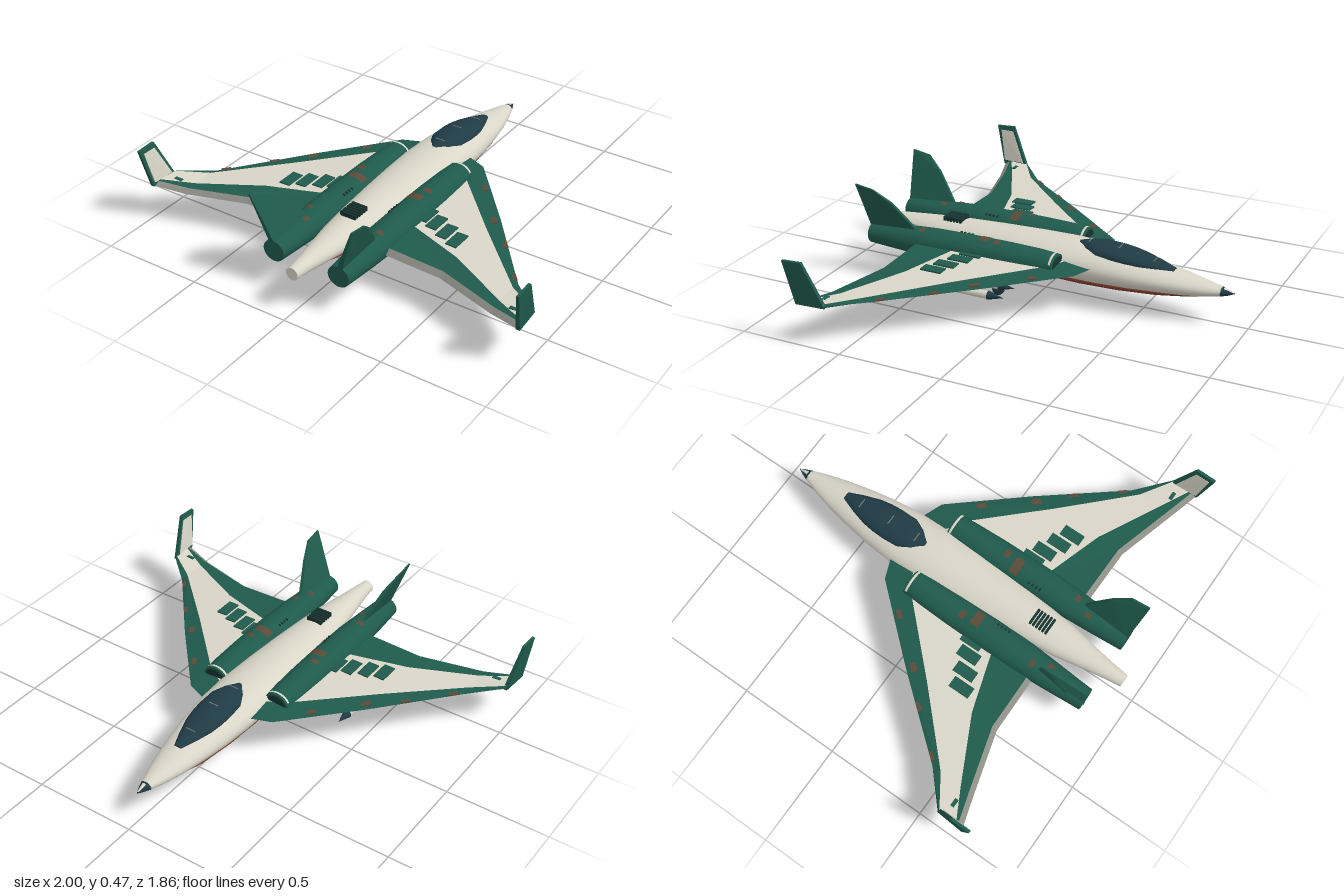
import * as THREE from 'three';
import { ConvexGeometry } from 'three/addons/geometries/ConvexGeometry.js';

const mat = (name, color) => {
  const m = new THREE.MeshStandardMaterial({ color });
  m.name = name;
  return m;
};
const V = (x, y, z) => new THREE.Vector3(x, y, z);

// Closed elliptical hull through rings of [z, halfWidth, top, bottom]
function loft(rings, n = 28, x0 = 0) {
  const pos = [], idx = [];
  const ring = ([z, w, top, bot]) => {
    for (let j = 0; j < n; j++) {
      const a = (j / n) * Math.PI * 2;
      pos.push(x0 + w * Math.cos(a), (top + bot) / 2 + ((top - bot) / 2) * Math.sin(a), z);
    }
  };
  rings.forEach(ring);
  for (let i = 0; i < rings.length - 1; i++)
    for (let j = 0; j < n; j++) {
      const a = i * n + j, b = i * n + ((j + 1) % n);
      idx.push(a, b, a + n, b, b + n, a + n);
    }
  // flat end caps with their own vertices
  [rings[0], rings[rings.length - 1]].forEach((r, end) => {
    const s = pos.length / 3;
    ring(r);
    pos.push(x0, (r[2] + r[3]) / 2, r[0]);
    for (let j = 0; j < n; j++) {
      const a = s + j, b = s + ((j + 1) % n);
      end ? idx.push(s + n, a, b) : idx.push(s + n, b, a);
    }
  });
  const g = new THREE.BufferGeometry();
  g.setAttribute('position', new THREE.Float32BufferAttribute(pos, 3));
  g.setIndex(idx);
  g.computeVertexNormals();
  return g;
}

// Wing skin: painted borders (0), pale centre panels (1), grey trailing edge (2)
function wingGeometry() {
  // [x, y, halfThickness, leading z, panel start, panel end, trailing z]
  const stations = [
    [0.1, 0.203, 0.015, -0.3, -0.18, 0.33, 0.585],
    [0.23, 0.202, 0.014, -0.25, -0.095, 0.36, 0.585],
    [0.52, 0.192, 0.013, 0.08, 0.2, 0.45, 0.587],
    [0.82, 0.182, 0.011, 0.445, 0.49, 0.6, 0.67],
    [0.97, 0.197, 0.009, 0.58, 0.59, 0.68, 0.715],
  ];
  const loops = stations.map(([x, y, t, le, a, b, te]) => [
    V(x, y, le), V(x, y + t, a), V(x, y + t, b), V(x, y + t * 0.7, te - 0.025),
    V(x, y - t, te), V(x, y - t, b), V(x, y - t, a),
  ]);
  const pos = [], g = new THREE.BufferGeometry();
  for (let k = 0; k < 7; k++) {
    const start = pos.length / 3, k2 = (k + 1) % 7;
    for (let i = 0; i < loops.length - 1; i++) {
      const [a, b, c, d] = [loops[i][k], loops[i][k2], loops[i + 1][k2], loops[i + 1][k]];
      for (const p of [a, b, c, a, c, d]) pos.push(p.x, p.y, p.z);
    }
    g.addGroup(start, pos.length / 3 - start, [0, 1, 0, 2, 0, 1, 0][k]);
  }
  g.setAttribute('position', new THREE.Float32BufferAttribute(pos, 3));
  g.computeVertexNormals();
  return g;
}

// Tapered plate from corner points, each with its own half thickness in x
const plate = (corners) => new ConvexGeometry(
  corners.flatMap(([x, y, z, t]) => [V(x - t, y, z), V(x + t, y, z)]));

export function createModel() {
  const root = new THREE.Group();
  root.name = 'aircraft';
  const cream = mat('cream paint', 0xd9d6c8), green = mat('green paint', 0x1f5a4c);
  const glass = mat('dark glass', 0x203b45), rust = mat('rust red belly', 0x8a4030);
  const fleck = mat('worn paint', 0x5a4a38), dark = mat('dark trim', 0x17332f);
  const grey = mat('strut grey', 0x6f7472), edge = mat('trailing edge grey', 0x8b8d85);

  const add = (parent, name, geo, material, x = 0, y = 0, z = 0) => {
    const m = new THREE.Mesh(geo, material);
    m.name = name;
    m.position.set(x, y, z);
    parent.add(m);
    return m;
  };
  const box = (w, h, d) => new THREE.BoxGeometry(w, h, d);

  // Fuselage, nose and canopy
  add(root, 'fuselage', loft([
    [-0.87, 0.0275, 0.1795, 0.136], [-0.8, 0.052, 0.192, 0.124], [-0.7, 0.08, 0.21, 0.114],
    [-0.58, 0.105, 0.23, 0.106], [-0.45, 0.126, 0.25, 0.1], [-0.3, 0.14, 0.268, 0.096],
    [-0.12, 0.145, 0.275, 0.098], [0.05, 0.138, 0.274, 0.104], [0.25, 0.122, 0.271, 0.114],
    [0.45, 0.102, 0.265, 0.13], [0.6, 0.085, 0.256, 0.142], [0.76, 0.056, 0.245, 0.155],
    [0.86, 0.04, 0.237, 0.165], [0.93, 0.031, 0.23, 0.169],
  ]), cream);
  add(root, 'noseTip', loft([[-0.93, 0.001, 0.158, 0.157], [-0.905, 0.014, 0.169, 0.146],
    [-0.868, 0.0285, 0.18, 0.135]], 16), glass);
  add(root, 'noseTopPatch', loft([[-0.924, 0.003, 0.1625, 0.157], [-0.905, 0.007, 0.171, 0.158],
    [-0.88, 0.012, 0.179, 0.16]], 16), cream);
  add(root, 'belly', loft([
    [-0.8, 0.012, 0.138, 0.119], [-0.7, 0.052, 0.151, 0.107], [-0.58, 0.086, 0.158, 0.097],
    [-0.4, 0.106, 0.162, 0.088], [-0.22, 0.114, 0.164, 0.086], [0, 0.112, 0.165, 0.091],
    [0.25, 0.1, 0.168, 0.105], [0.45, 0.084, 0.172, 0.121], [0.64, 0.058, 0.175, 0.137],
    [0.78, 0.015, 0.172, 0.153],
  ]), rust);
  add(root, 'canopy', loft([
    [-0.645, 0.02, 0.226, 0.205], [-0.57, 0.048, 0.248, 0.2], [-0.49, 0.072, 0.267, 0.2],
    [-0.43, 0.081, 0.279, 0.2], [-0.38, 0.084, 0.286, 0.2], [-0.29, 0.083, 0.292, 0.2],
    [-0.23, 0.058, 0.288, 0.21], [-0.178, 0.015, 0.277, 0.24],
  ]), glass);
  [[-0.55, 0.253], [-0.38, 0.286], [-0.23, 0.288]].forEach(([z, y]) =>
    add(root, 'canopyRib', box(0.05, 0.004, 0.005), grey, 0, y - 0.0015, z));

  // Spine louvres
  for (let i = 0; i < 6; i++)
    add(root, 'spineLouvre', box(0.08, 0.022, 0.01), dark, 0, 0.271, 0.435 + i * 0.017);

  // One side, mirrored for the other
  const half = (s) => {
    const h = new THREE.Group();
    h.name = s > 0 ? 'leftSide' : 'rightSide';
    h.scale.x = s;
    root.add(h);

    // Wing with vents, tip mark and worn patches
    add(h, 'wing', wingGeometry(), [green, cream, edge]);
    [[0.245, 0.26], [0.31, 0.285], [0.383, 0.317], [0.453, 0.345]].forEach(([x, z]) =>
      add(h, 'wingVent', box(0.055, 0.012, 0.105), green, x, 0.215 - (x - 0.24) * 0.035, z));
    add(h, 'tipMark', box(0.04, 0.006, 0.018), green, 0.9, 0.2, 0.622);
    [[0.33, -0.09, 0.2015], [0.5, 0.11, 0.1975], [0.63, 0.24, 0.1905], [0.78, 0.42, 0.1865]].forEach(
      ([x, z, y]) => add(h, 'wornPatch', box(0.045, 0.007, 0.03), fleck, x, y, z).rotation.y = -0.85);

    // Winglet with a pale inner panel
    add(h, 'winglet', plate([[0.965, 0.187, 0.58, 0.01], [0.975, 0.187, 0.72, 0.01],
      [0.993, 0.395, 0.67, 0.007], [0.993, 0.39, 0.768, 0.007]]), green);
    add(h, 'wingletPanel', plate([[0.957, 0.21, 0.605, 0.003], [0.962, 0.21, 0.715, 0.003],
      [0.984, 0.37, 0.675, 0.003], [0.984, 0.37, 0.745, 0.003]]), cream);

    // Engine nacelle, intake and nozzle
    add(h, 'nacelle', loft([
      [-0.14, 0.064, 0.262, 0.148], [-0.05, 0.071, 0.269, 0.141], [0.1, 0.077, 0.272, 0.136],
      [0.3, 0.08, 0.272, 0.134], [0.5, 0.077, 0.269, 0.134], [0.65, 0.068, 0.26, 0.136],
      [0.76, 0.06, 0.253, 0.141], [0.835, 0.055, 0.248, 0.146],
    ], 28, 0.172), green);
    add(h, 'intake', loft([[-0.143, 0.054, 0.252, 0.158], [-0.138, 0.054, 0.252, 0.158]], 28, 0.172), dark);
    // Curved skins on the nacelle: [name, material, z, length, start, arc, halfWidth, top, bottom]
    for (const [name, m, z, len, a, arc, w, t, b] of [
      ['intakeLip', cream, -0.127, 0.011, -1.1, 2.2, 0.068, 0.266, 0.144],
      ['nacelleWear', fleck, 0.23, 0.045, -0.75, 1.05, 0.081, 0.274, 0.133],
      ['nacelleWear', fleck, 0.16, 0.03, -0.1, 0.5, 0.0795, 0.274, 0.134],
      ['nacelleWear', fleck, 0.55, 0.025, 0, 0.5, 0.0765, 0.269, 0.132],
      ['nacelleWear', fleck, 0.63, 0.03, -0.5, 0.35, 0.072, 0.265, 0.134]]) {
      const g = new THREE.CylinderGeometry(1, 1, len, 16, 1, true, a, arc);
      g.rotateX(-Math.PI / 2).scale(w, (t - b) / 2, 1);
      add(h, name, g, m, 0.172, (t + b) / 2, z);
    }
    for (let i = 0; i < 4; i++)
      add(h, 'nacelleGrille', box(0.012, 0.01, 0.008), dark, 0.125, 0.257, 0.32 + i * 0.02);

    // Canted tail fin
    add(h, 'tailFin', plate([[0.178, 0.235, 0.57, 0.008], [0.178, 0.235, 0.835, 0.014],
      [0.232, 0.39, 0.69, 0.007], [0.265, 0.455, 0.77, 0.004], [0.267, 0.47, 0.862, 0.004]]), green);

    // Main landing gear
    const strut = (a, b, r) => {
      const m = add(h, 'gearStrut', new THREE.CylinderGeometry(r, r, a.distanceTo(b), 8), grey);
      m.position.copy(a).lerp(b, 0.5);
      m.quaternion.setFromUnitVectors(V(0, 1, 0), b.clone().sub(a).normalize());
    };
    strut(V(0.12, 0.15, 0.12), V(0.162, 0.03, 0.165), 0.009);
    strut(V(0.15, 0.15, 0.17), V(0.165, 0.03, 0.165), 0.007);
    const wheel = new THREE.CylinderGeometry(0.028, 0.028, 0.022, 14).rotateZ(Math.PI / 2);
    add(h, 'wheel', wheel, glass, 0.168, 0.028, 0.165);

    // Stores under the wing
    [0.31, 0.42].forEach((x) => {
      const store = new THREE.Group();
      store.name = 'missile';
      store.position.set(x, 0.121, 0);
      h.add(store);
      add(store, 'missileBody', new THREE.CylinderGeometry(0.018, 0.018, 0.38, 14).rotateX(Math.PI / 2), cream, 0, 0, 0.262);
      add(store, 'missileNose', new THREE.ConeGeometry(0.021, 0.075, 14).rotateX(-Math.PI / 2), glass, 0, 0, 0.045);
      add(store, 'missileFins', box(0.1, 0.003, 0.05), dark, 0, 0, 0.38);
      add(store, 'pylon', box(0.01, 0.065, 0.04), cream, 0, 0.035, 0.29);
    });
  };
  half(1);
  half(-1);
  return root;
}
